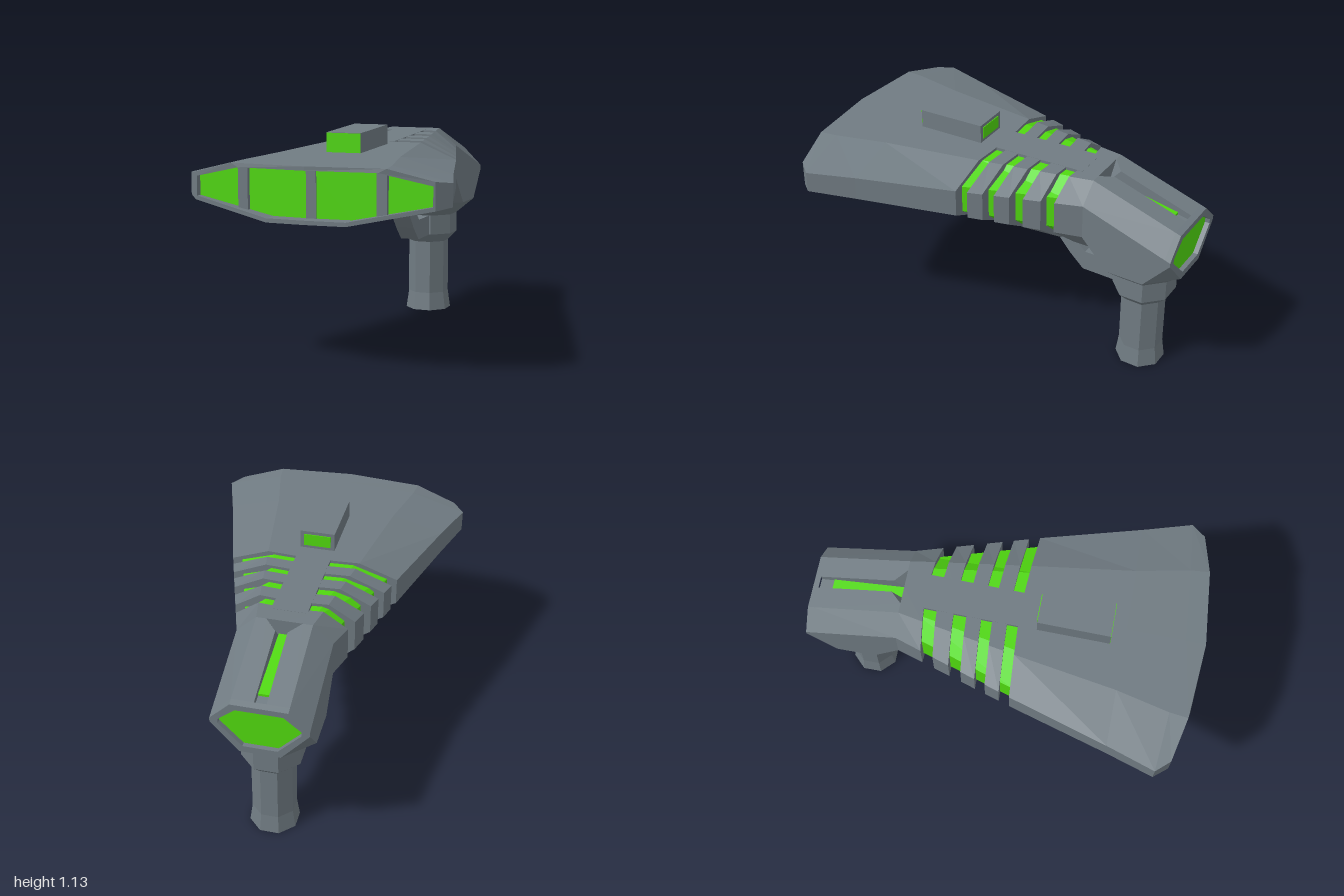
import * as THREE from 'three';
import { ConvexGeometry } from 'three/addons/geometries/ConvexGeometry.js';

const V = (x, y, z) => new THREE.Vector3(x, y, z);

// Symmetric ten-point cross-section: top corner a/yt, sides w/s1..s2, bottom corner b/yb
function ring([w, yt, a, s1, s2, b, yb], zAt) {
  const half = [[0, yt], [a, yt], [w, s1], [w, s2], [b, yb], [0, yb]];
  const mirror = half.slice(1, 5).reverse().map(([x, y]) => [-x, y]);
  return [...half, ...mirror].map(([x, y]) => V(x, y, zAt(Math.abs(x))));
}

// Flat-shaded skin through rings of equal point count, with optional end caps
function loft(rings, capStart = true, capEnd = true) {
  const tris = [], n = rings[0].length;
  for (let i = 0; i + 1 < rings.length; i++) {
    for (let j = 0; j < n; j++) {
      const k = (j + 1) % n, p = rings[i], q = rings[i + 1];
      tris.push(p[j], q[j], p[k], p[k], q[j], q[k]);
    }
  }
  const first = rings[0], last = rings[rings.length - 1];
  for (let j = 1; j < n - 1; j++) {
    if (capStart) tris.push(first[0], first[j], first[j + 1]);
    if (capEnd) tris.push(last[0], last[j + 1], last[j]);
  }
  const g = new THREE.BufferGeometry().setFromPoints(tris);
  g.computeVertexNormals();
  return g;
}

// Body stations: z, then w, yt, a, s1, s2, b, yb
const STATIONS = [
  [-0.52, 0.24, 1.07, 0.14, 0.975, 0.795, 0.10, 0.64],
  [0.09, 0.435, 1.04, 0.24, 0.96, 0.815, 0.16, 0.68],
  [0.6, 0.585, 1.018, 0.32, 0.945, 0.82, 0.19, 0.71],
  [0.85, 0.665, 1.005, 0.38, 0.935, 0.825, 0.21, 0.725],
];
function dims(z) {
  let i = 0;
  while (i < STATIONS.length - 2 && z > STATIONS[i + 1][0]) i++;
  const p = STATIONS[i], q = STATIONS[i + 1], t = (z - p[0]) / (q[0] - p[0]);
  return p.slice(1).map((v, k) => v + (q[k + 1] - v) * t);
}
// Body ring whose middle sweeps slightly backwards
function bodyRing(z, sweep = 0.025, inset = [0, 0, 0, 0, 0, 0, 0]) {
  const d = dims(z).map((v, k) => v + inset[k]);
  return ring(d, x => z - sweep * (1 - x / d[0]));
}

export function createModel() {
  const root = new THREE.Group();
  const grey = new THREE.MeshStandardMaterial({ color: 0x707b82, flatShading: true });
  const green = new THREE.MeshStandardMaterial({ color: 0x50d80f, flatShading: true });
  const add = (name, geometry, material = grey) => {
    const m = new THREE.Mesh(geometry, material);
    m.name = name;
    root.add(m);
    return m;
  };

  // Flared nozzle with a curved lip and a recessed opening
  const lip = x => 1 - 0.08 * (x / 0.605) ** 2;
  const floor = x => 0.92 - 0.03 * (x / 0.595);
  const inner = [0.595, 0.98, 0.35, 0.925, 0.83, 0.2, 0.75];
  const panel = ring(inner, floor);
  add('nozzle', loft([
    bodyRing(0.09), bodyRing(0.6, 0), ring(dims(0.85), x => 0.85 + 0.05 * (1 - x / 0.665)),
    ring([0.605, 1.0, 0.39, 0.945, 0.812, 0.2, 0.73], lip), ring(inner, lip), panel,
  ], true, false));
  add('nozzleGlow', loft([panel], false, true), green);
  for (const [x, y0, y1] of [[0, 0.74, 0.985], [0.35, 0.772, 0.985], [-0.35, 0.772, 0.985]]) {
    const bar = add('nozzleDivider', new THREE.BoxGeometry(0.05, y1 - y0, 0.06));
    bar.position.set(x, (y0 + y1) / 2, 0.895);
  }

  // Cooling ribs around a glowing core, joined by a spine on top
  for (const [z0, z1] of [[-0.04, 0.035], [-0.17, -0.095], [-0.32, -0.235]]) {
    add('coolingRib', loft([bodyRing(z0), bodyRing(z1)]));
  }
  const coreInset = [-0.05, -0.015, -0.03, 0, 0, -0.03, 0.015];
  add('glowingCore', loft([bodyRing(-0.42, 0.025, coreInset), bodyRing(0.1, 0.025, coreInset)]), green);
  add('bodyRear', loft([ring(dims(-0.52), () => -0.52), bodyRing(-0.385)]));
  const spine = [];
  for (const z of [-0.43, 0.08]) {
    const y = dims(z)[1];
    for (const x of [-0.09, 0.09]) spine.push(V(x, y, z), V(x, y - 0.08, z));
  }
  add('spine', new ConvexGeometry(spine));

  // Rear housing: two mirrored halves with a groove between them
  for (const s of [1, -1]) {
    const points = [
      [0.09, 1.07, -0.52], [0.14, 1.07, -0.52], [0.24, 0.975, -0.52], [0.24, 0.795, -0.52],
      [0.1, 0.64, -0.52], [0.03, 0.64, -0.52], [0.03, 0.98, -0.52], [0.03, 1.051, -0.58],
      [0.03, 0.93, -0.97], [0.14, 0.93, -0.97], [0.24, 0.83, -0.97], [0.24, 0.766, -0.97],
      [0.13, 0.64, -0.97], [0.03, 0.64, -0.97], [0.24, 0.64, -0.66], [0.24, 0.64, -0.86],
      [0.15, 0.56, -0.698], [0.15, 0.56, -0.822], [0.062, 0.56, -0.61], [0.062, 0.56, -0.91],
      [0.03, 0.56, -0.61], [0.03, 0.56, -0.91],
    ];
    add(s > 0 ? 'rearHousingLeft' : 'rearHousingRight',
      new ConvexGeometry(points.map(([x, y, z]) => V(s * x, y, z))));
  }
  const strip = (profile, x) => new ConvexGeometry(
    profile.flatMap(([z, y]) => [V(-x, y, z), V(x, y, z)]));
  add('rearHousingCentre', strip([[-0.52, 0.98], [-0.97, 0.9], [-0.97, 0.64], [-0.91, 0.56],
    [-0.61, 0.56], [-0.52, 0.64]], 0.03));
  add('grooveGlow', strip([[-0.52, 0.99], [-0.9, 0.925], [-0.9, 0.9], [-0.52, 0.96]], 0.0295), green);

  // Back rim around a glowing panel
  const backInner = [0.2, 0.89, 0.115, 0.82, 0.795, 0.085, 0.675];
  add('backRim', loft([
    ring(backInner, () => -0.968), ring(backInner, () => -1),
    ring([0.24, 0.92, 0.14, 0.82, 0.8, 0.1, 0.64], () => -1),
    ring([0.24, 0.93, 0.14, 0.83, 0.766, 0.13, 0.64], () => -0.97),
  ], false, false));
  add('backGlow', loft([ring(backInner, () => -0.975)], true, false), green);

  // Octagonal collar and grip: name, y and half-width at the bottom, then at the top
  const k = 1 / Math.cos(Math.PI / 8);
  for (const [name, y0, r0, y1, r1] of [
    ['gripCollar', 0.45, 0.15, 0.56, 0.15], ['gripTaper', 0.4, 0.105, 0.45, 0.15],
    ['gripHandle', 0.1, 0.105, 0.4, 0.105], ['gripFoot', 0, 0.118, 0.1, 0.105],
  ]) {
    const g = new THREE.CylinderGeometry(r1 * k, r0 * k, y1 - y0, 8);
    g.rotateY(Math.PI / 8);
    add(name, g).position.set(0, (y0 + y1) / 2, -0.76);
  }

  // Bent trigger strut from the collar to the underside
  const strut = new THREE.Shape([[-0.63, 0.45], [-0.43, 0.45], [-0.35, 0.525], [-0.26, 0.63],
    [-0.25, 0.68], [-0.35, 0.68], [-0.35, 0.645], [-0.44, 0.56], [-0.63, 0.56]]
    .map(([z, y]) => new THREE.Vector2(z, y)));
  const strutGeometry = new THREE.ExtrudeGeometry(strut, { depth: 0.104, bevelEnabled: false });
  strutGeometry.translate(0, 0, -0.052).rotateY(-Math.PI / 2);
  add('triggerStrut', strutGeometry);

  // Sight on top with glowing ends
  add('sight', strip([[0.53, 1.0], [0.53, 1.118], [0.165, 1.135], [0.165, 1.02]], 0.09));
  const front = add('sightFrontGlow', new THREE.BoxGeometry(0.178, 0.1, 0.004), green);
  front.position.set(0, 1.066, 0.53);
  const back = add('sightBackGlow', new THREE.BoxGeometry(0.14, 0.065, 0.006), green);
  back.position.set(0, 1.085, 0.164);

  return root;
}
